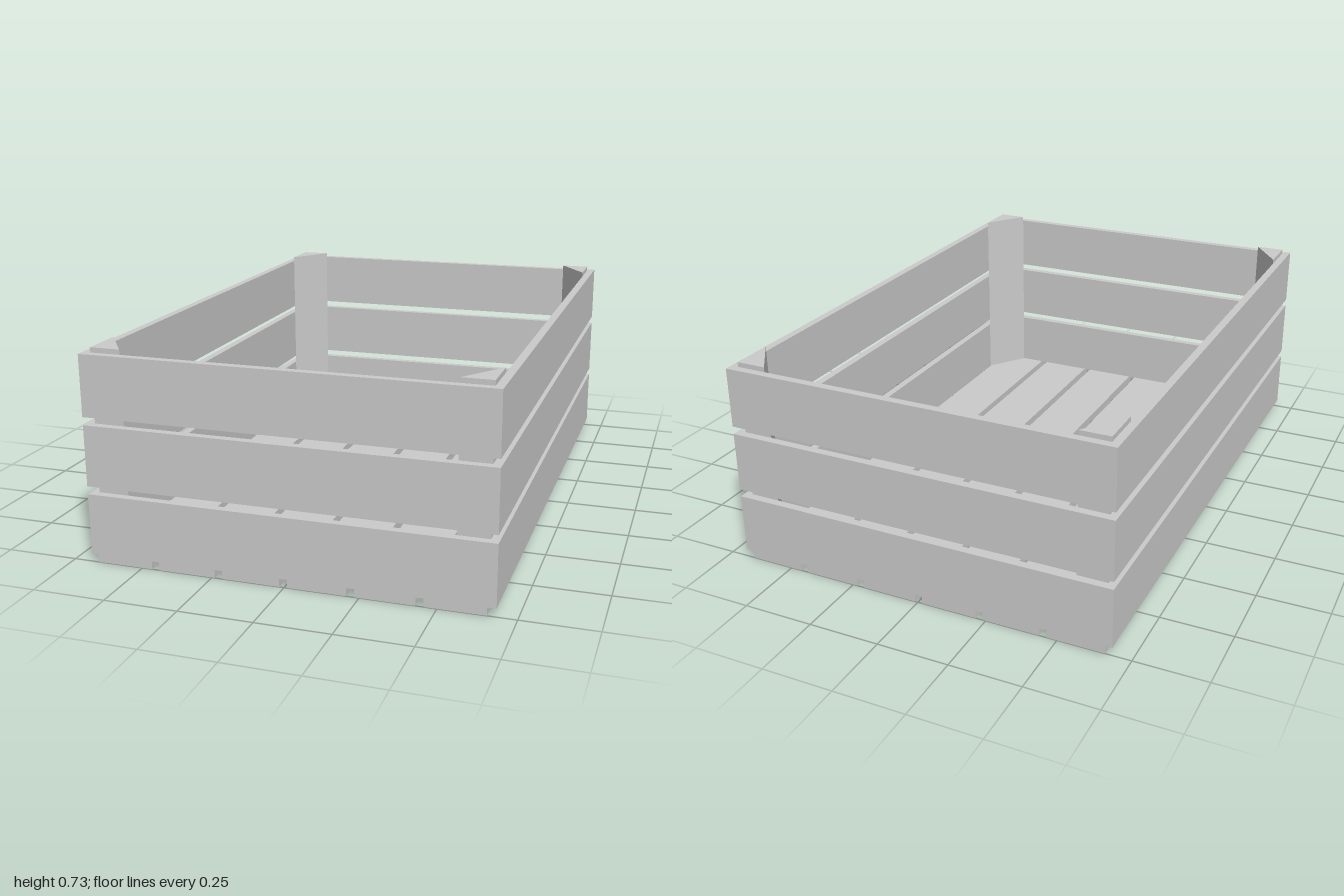
import * as THREE from 'three';

const material = new THREE.MeshStandardMaterial({ color: 0xcccccc, flatShading: true });

// Box given by its minimum and maximum on each axis
function board(name, [x0, x1], [y0, y1], [z0, z1]) {
  const geometry = new THREE.BoxGeometry(x1 - x0, y1 - y0, z1 - z0);
  geometry.translate((x0 + x1) / 2, (y0 + y1) / 2, (z0 + z1) / 2);
  const mesh = new THREE.Mesh(geometry, material);
  mesh.name = name;
  return mesh;
}

export function createModel() {
  const crate = new THREE.Group();
  crate.name = 'crate';

  const W = 0.685, L = 1, T = 0.028; // half width, half length, board thickness
  const slatHeight = 0.21, slatPitch = 0.2375;

  // Floor: six long boards with narrow gaps
  for (let i = 0; i < 6; i++) {
    const x = -0.662 + i * 0.224;
    crate.add(board('floorBoard', [x, x + 0.198], [0, T], [-L, L]));
  }

  // Walls: three rows of slats, butted at the corners
  for (let row = 0; row < 3; row++) {
    const y = [T + row * slatPitch, T + row * slatPitch + slatHeight];
    crate.add(
      board('frontSlat', [-W, W - T], y, [L - T, L]),
      board('backSlat', [-W, W - T], y, [-L, -L + T]),
      board('leftSlat', [W - T, W], y, [-L, L]),
      board('rightSlat', [-W, -W + T], y, [-L + T, L - T]),
    );
  }

  // Triangular corner posts, standing slightly above the slats
  for (const sx of [-1, 1]) {
    for (const sz of [-1, 1]) {
      const x = sx * (W - T), z = sz * (L - T);
      const shape = new THREE.Shape([
        new THREE.Vector2(x, -z),
        new THREE.Vector2(x - sx * 0.105, -z),
        new THREE.Vector2(x, -z + sz * 0.15),
      ]);
      const geometry = new THREE.ExtrudeGeometry(shape, { depth: 0.73 - T, bevelEnabled: false });
      geometry.rotateX(-Math.PI / 2).translate(0, T, 0);
      const post = new THREE.Mesh(geometry, material);
      post.name = 'cornerPost';
      crate.add(post);
    }
  }

  return crate;
}
